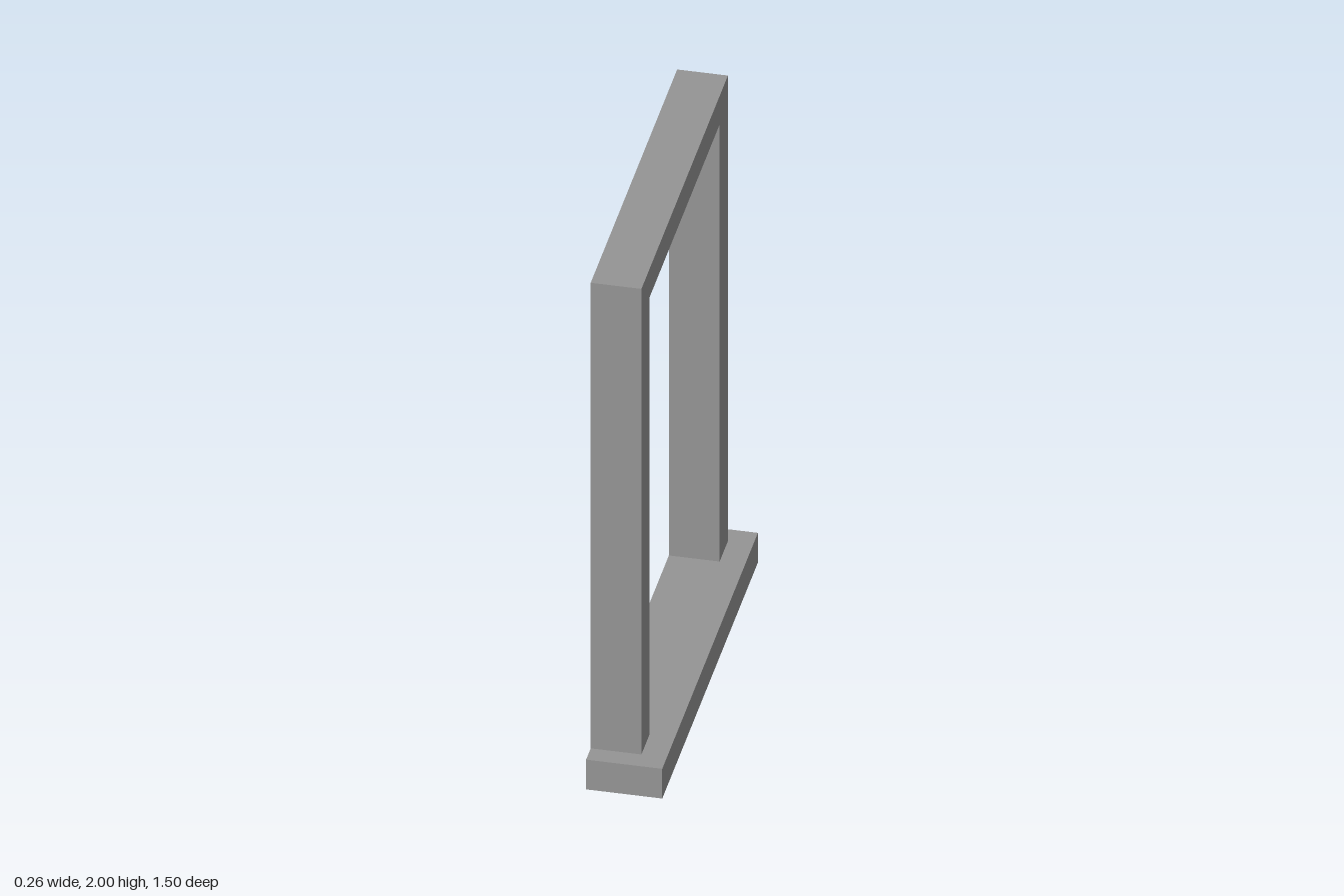
import * as THREE from 'three';

// Box given by its limits, without the listed sides (0:+x 1:-x 2:+y 3:-y 4:+z 5:-z)
function openBox(name, material, [x0, x1], [y0, y1], [z0, z1], openSides) {
  const geometry = new THREE.BoxGeometry(x1 - x0, y1 - y0, z1 - z0);
  const index = Array.from(geometry.index.array);
  geometry.setIndex(index.filter((_, i) => !openSides.includes(Math.floor(i / 6))));
  geometry.clearGroups();
  geometry.translate((x0 + x1) / 2, (y0 + y1) / 2, (z0 + z1) / 2);
  const mesh = new THREE.Mesh(geometry, material);
  mesh.name = name;
  return mesh;
}

export function createModel() {
  const group = new THREE.Group();
  group.name = 'windowFrame';
  const grey = new THREE.MeshStandardMaterial({ color: 0x949494, side: THREE.DoubleSide });
  grey.name = 'grey';

  const back = -0.132, frameFront = 0.044, sillFront = 0.132;
  const sillTop = 0.12, headerBottom = 1.885;

  // Sill and header, hollow and open towards the wall (-x)
  group.add(openBox('sill', grey, [back, sillFront], [0, sillTop], [-0.75, 0.75], [1]));
  group.add(openBox('header', grey, [back, frameFront], [headerBottom, 2], [-0.678, 0.678], [1]));

  // Side posts, closed above and below by the header and sill
  const span = [sillTop, headerBottom];
  group.add(openBox('frontPost', grey, [back, frameFront], span, [0.548, 0.678], [1, 2, 3]));
  group.add(openBox('backPost', grey, [back, frameFront], span, [-0.678, -0.548], [1, 2, 3]));
  return group;
}
